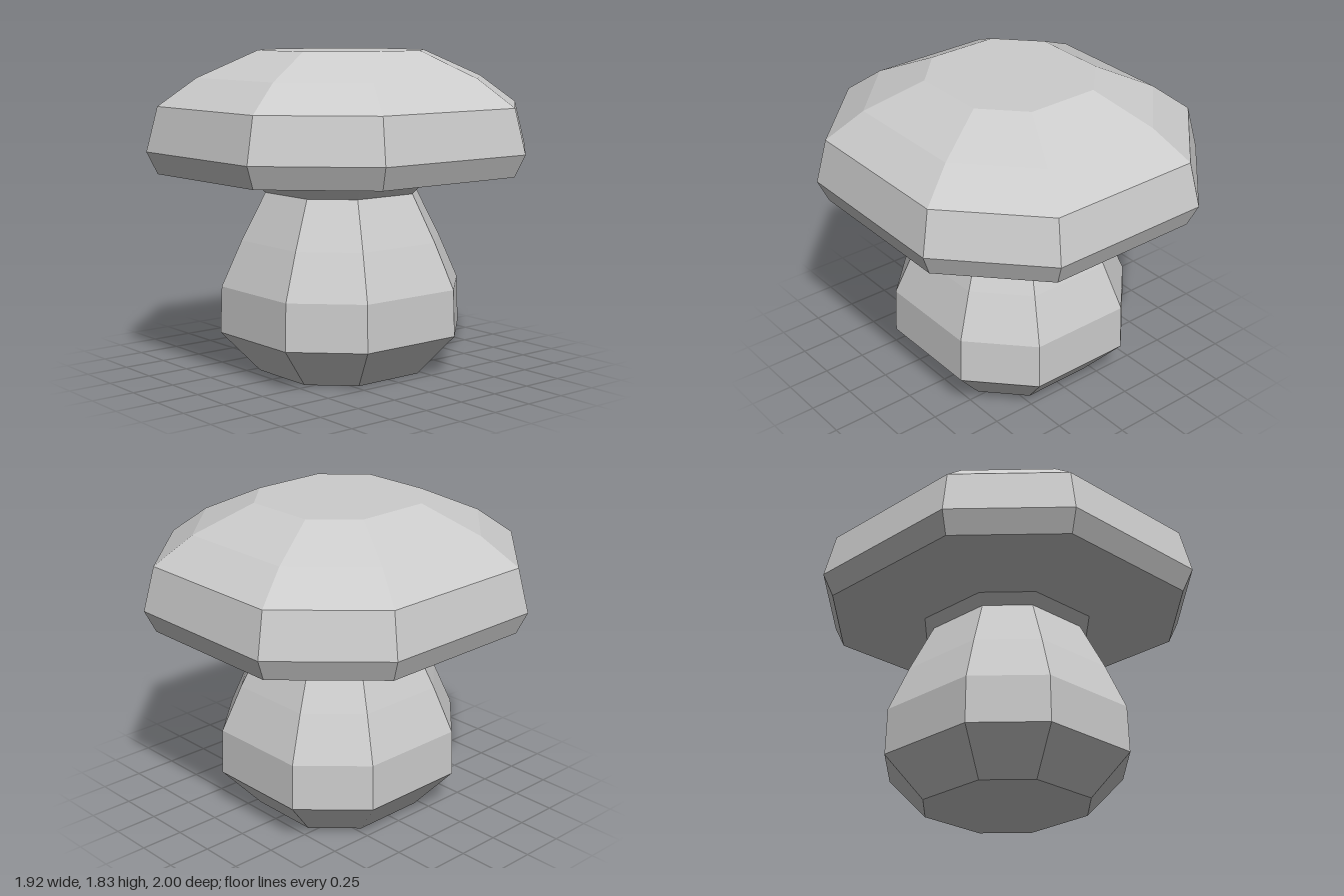
import * as THREE from 'three';

// Octagon outline with long front/side flats, counter-clockwise seen from above
const OCTAGON = [[1, 0.5], [1, -0.5], [0.5, -1], [-0.5, -1], [-1, -0.5], [-1, 0.5], [-0.5, 1], [0.5, 1]];
const X_SCALE = 0.96;

// Skin a stack of [halfWidth, y] octagons, optionally closed at either end
function loft(name, profile, closeBottom, closeTop) {
  const rings = profile.map(([r, y]) =>
    OCTAGON.map(([x, z]) => new THREE.Vector3(x * r * X_SCALE, y, z * r)));
  const points = [];
  const n = OCTAGON.length;
  for (let i = 0; i < rings.length - 1; i++) {
    for (let j = 0; j < n; j++) {
      const k = (j + 1) % n;
      const a = rings[i][j], b = rings[i][k], c = rings[i + 1][k], d = rings[i + 1][j];
      points.push(a, b, c, a, c, d);
    }
  }
  const first = rings[0], last = rings[rings.length - 1];
  for (let j = 1; j < n - 1; j++) {
    if (closeBottom) points.push(first[0], first[j + 1], first[j]);
    if (closeTop) points.push(last[0], last[j], last[j + 1]);
  }
  const geometry = new THREE.BufferGeometry().setFromPoints(points);
  geometry.computeVertexNormals();
  const material = new THREE.MeshStandardMaterial({ color: 0xcccccc, flatShading: true });
  const mesh = new THREE.Mesh(geometry, material);
  mesh.name = name;
  return mesh;
}

export function createModel() {
  const model = new THREE.Group();
  model.name = 'mushroom';

  // Bulging stem that narrows to the neck
  model.add(loft('stem', [
    [0.435, 0], [0.638, 0.235], [0.63, 0.5], [0.525, 0.76], [0.4, 1.03],
  ], true, false));

  // Cap: flared collar, shallow underside, rim and stepped dome
  model.add(loft('cap', [
    [0.4, 1.03], [0.45, 1.085], [0.945, 1.15], [1, 1.275],
    [0.942, 1.525], [0.745, 1.68], [0.435, 1.83],
  ], false, true));

  return model;
}
